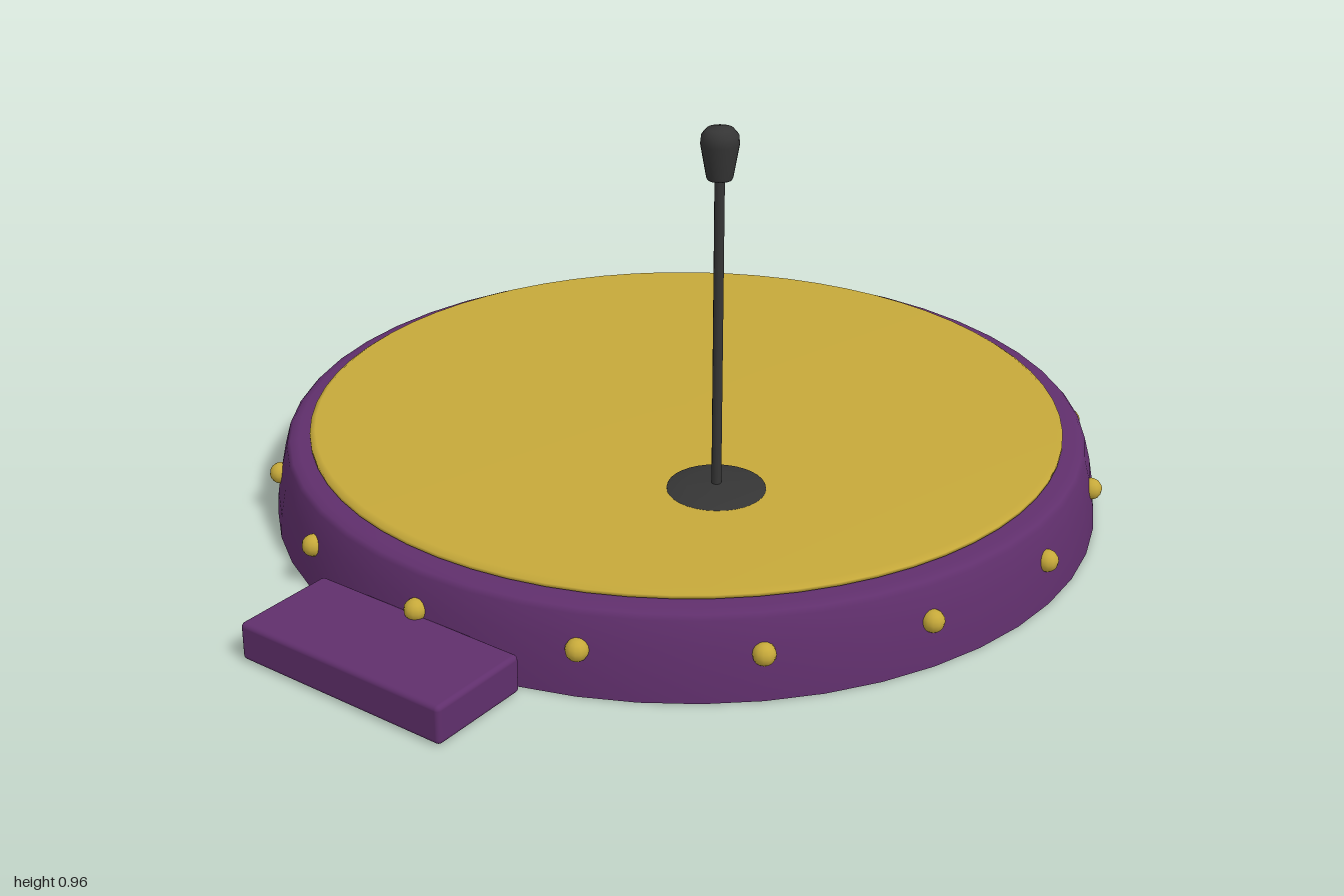
import * as THREE from 'three';
import { RoundedBoxGeometry } from 'three/addons/geometries/RoundedBoxGeometry.js';

const material = (name, color) => {
  const m = new THREE.MeshStandardMaterial({ color });
  m.name = name;
  return m;
};

export function createModel() {
  const model = new THREE.Group();
  const purple = material('purple', 0x602f6c);
  const gold = material('gold', 0xc6a93a);
  const charcoal = material('charcoal', 0x353535);

  const add = (name, geometry, mat, x, y, z, parent = model) => {
    const mesh = new THREE.Mesh(geometry, mat);
    mesh.name = name;
    mesh.position.set(x, y, z);
    parent.add(mesh);
    return mesh;
  };
  // Profiles run from the bottom up, as [radius, height]
  const lathe = (points, segments) =>
    new THREE.LatheGeometry(points.map(([r, y]) => new THREE.Vector2(r, y)), segments);

  const cz = -0.1; // centre of the round body

  // Round body with a softly tapered rim
  add('bodyRim', lathe([[0.893, 0], [0.889, 0.05], [0.878, 0.11], [0.865, 0.158],
    [0.857, 0.167], [0.84, 0.172], [0.8, 0.173]], 48), purple, 0, 0, cz);
  const base = add('bodyBase', new THREE.CircleGeometry(0.893, 48), purple, 0, 0, cz);
  base.rotation.x = Math.PI / 2;

  // Top plate with a small bevel; smooth normals give it a slight domed look
  add('topPlate', lathe([[0.8, 0.171], [0.815, 0.176], [0.815, 0.183],
    [0.803, 0.191], [0, 0.192]], 64), gold, 0, 0, cz);

  // Ring of studs
  const studs = new THREE.Group();
  studs.name = 'studs';
  model.add(studs);
  const studGeometry = new THREE.SphereGeometry(0.023, 12, 8);
  for (let i = 0; i < 16; i++) {
    const a = (i / 16) * Math.PI * 2;
    add('stud', studGeometry, gold, 0.882 * Math.cos(a), 0.094, cz + 0.882 * Math.sin(a), studs);
  }

  // Front tab
  add('frontTab', new RoundedBoxGeometry(0.5, 0.08, 0.225, 3, 0.01), purple, 0, 0.042, 0.8875);

  // Antenna: foot, rod and knob
  const antenna = new THREE.Group();
  antenna.name = 'antenna';
  antenna.position.set(0.28, 0, 0.185);
  model.add(antenna);
  add('antennaFoot', lathe([[0.102, 0.188], [0.1, 0.194], [0.06, 0.2], [0, 0.204]], 32),
    charcoal, 0, 0, 0, antenna);
  add('antennaRod', new THREE.CylinderGeometry(0.01, 0.01, 0.66, 12), charcoal, 0, 0.53, 0, antenna);
  add('antennaKnob', lathe([[0, 0.849], [0.024, 0.849], [0.026, 0.853], [0.038, 0.92],
    [0.036, 0.938], [0.026, 0.95], [0, 0.956]], 20), charcoal, 0, 0, 0, antenna);

  return model;
}
